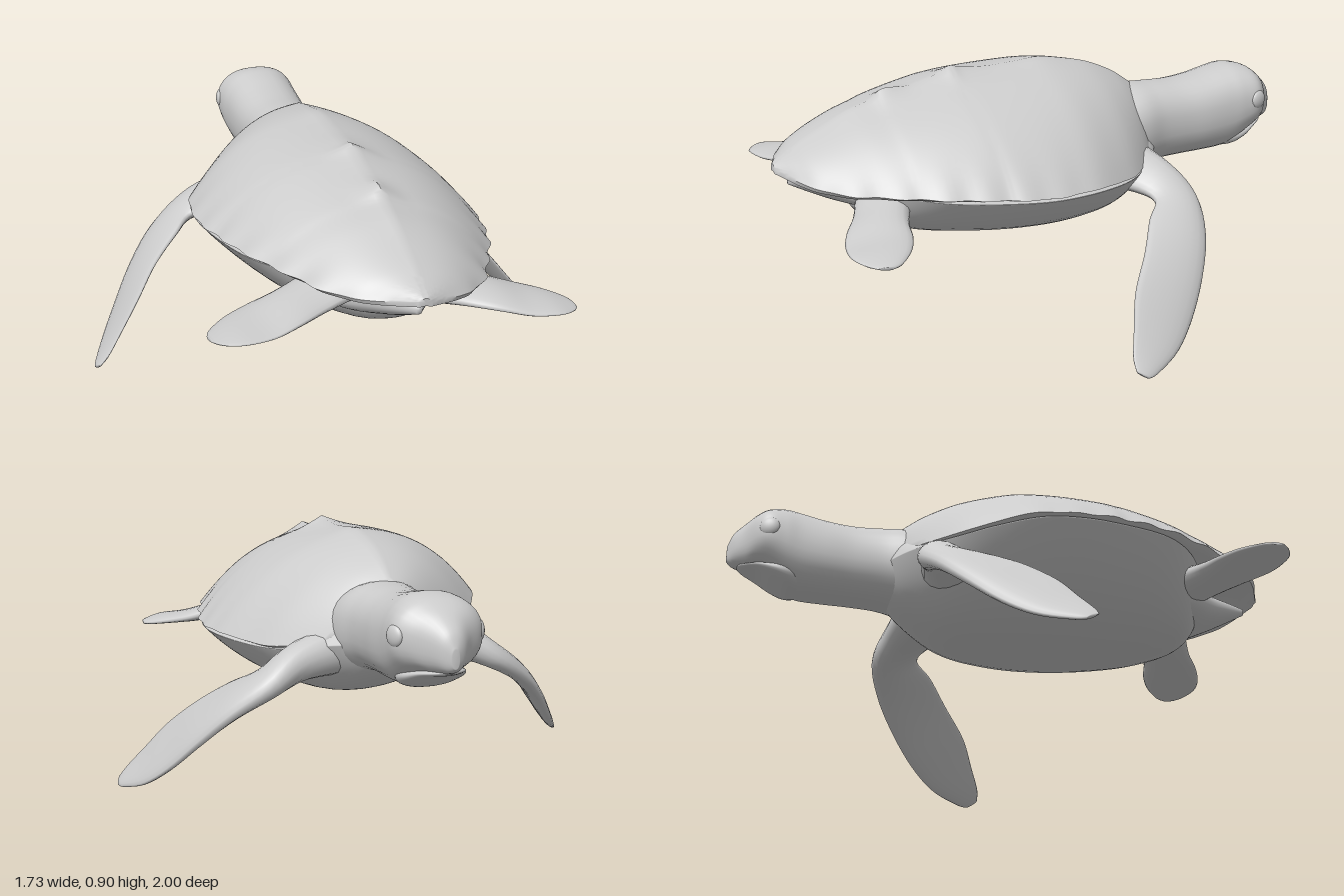
import * as THREE from 'three';
import { toCreasedNormals } from 'three/addons/utils/BufferGeometryUtils.js';

const material = new THREE.MeshStandardMaterial({ color: 0xcccccc, roughness: 0.8 });
const V = (x, y, z) => new THREE.Vector3(x, y, z);
const ROLL = 0.1; // the swimmer banks slightly to its +x side

// Smoothly resample rows of key values
function resample(keys, n) {
  const at = i => keys[Math.max(0, Math.min(keys.length - 1, i))];
  return Array.from({ length: n }, (_, k) => {
    const u = (k / (n - 1)) * (keys.length - 1);
    const i = Math.min(Math.floor(u), keys.length - 2), t = u - i;
    return keys[0].map((_, c) => {
      const [a, b, d, e] = [at(i - 1)[c], at(i)[c], at(i + 1)[c], at(i + 2)[c]];
      return b + 0.5 * t * (d - a + t * (2 * a - 5 * b + 4 * d - e + t * (3 * (b - d) + e - a)));
    });
  });
}

// Skin a row of closed rings, cap both ends and turn the faces outward
function loft(name, rings, crease) {
  const m = rings[0].length, pts = rings.flat(), idx = [];
  for (let r = 0; r < rings.length - 1; r++) {
    for (let j = 0; j < m; j++) {
      const a = r * m + j, b = r * m + (j + 1) % m;
      idx.push(a, b, a + m, b, b + m, a + m);
    }
  }
  [0, rings.length - 1].forEach(r => {
    const c = pts.length;
    pts.push(rings[r].reduce((s, p) => s.add(p), V(0, 0, 0)).divideScalar(m));
    for (let j = 0; j < m; j++) {
      const a = r * m + j, b = r * m + (j + 1) % m;
      idx.push(c, ...(r ? [a, b] : [b, a]));
    }
  });
  let volume = 0;
  for (let i = 0; i < idx.length; i += 3) {
    volume += pts[idx[i]].dot(V(0, 0, 0).crossVectors(pts[idx[i + 1]], pts[idx[i + 2]]));
  }
  if (volume < 0) idx.reverse();
  let geo = new THREE.BufferGeometry().setFromPoints(pts);
  geo.setIndex(idx);
  if (crease) geo = toCreasedNormals(geo, crease);
  else geo.computeVertexNormals();
  const mesh = new THREE.Mesh(geo, material);
  mesh.name = name;
  return mesh;
}

// Rounded section: keys are [z, centre x, half width, top, bottom]
function roundLoft(name, keys, n, power = 0.9) {
  return loft(name, resample(keys, n).map(([z, cx, w, top, bottom]) =>
    Array.from({ length: 32 }, (_, j) => {
      const a = (j / 32) * Math.PI * 2, c = Math.cos(a), s = Math.sin(a);
      const x = cx + Math.sign(c) * Math.abs(c) ** power * w;
      return V(x, (top + bottom) / 2 + Math.sign(s) * Math.abs(s) ** power * (top - bottom) / 2, z);
    })));
}

// Domed shell with a knobbed keel, rim overhanging at the tail: [z, half width, rim, top, knob]
function shell() {
  const keys = [
    [-0.41, 0.06, 0.66, 0.745, 0], [-0.37, 0.17, 0.6, 0.775, 0], [-0.3, 0.27, 0.575, 0.82, 0],
    [-0.2, 0.37, 0.565, 0.862, 0], [-0.1, 0.43, 0.575, 0.885, 0], [0, 0.478, 0.587, 0.895, 0.005],
    [0.1, 0.5, 0.59, 0.893, 0], [0.2, 0.508, 0.59, 0.888, 0], [0.3, 0.498, 0.595, 0.882, 0.012],
    [0.35, 0.487, 0.597, 0.877, 0.027], [0.4, 0.475, 0.6, 0.87, 0.008], [0.5, 0.447, 0.603, 0.848, 0.003],
    [0.6, 0.405, 0.605, 0.824, 0.027], [0.65, 0.378, 0.605, 0.808, 0.008], [0.73, 0.335, 0.605, 0.785, 0.004],
    [0.82, 0.285, 0.605, 0.745, 0], [0.9, 0.214, 0.608, 0.705, 0], [0.945, 0.14, 0.614, 0.675, 0],
    [0.975, 0.075, 0.62, 0.655, 0], [1, 0.02, 0.626, 0.64, 0],
  ];
  const half = 32;
  return loft('shell', resample(keys, 96).map(([z, w0, rim, top, knob]) => {
    const scallop = 0.007 * Math.sin(z * 48) * THREE.MathUtils.smoothstep(z, -0.2, 0.6);
    return Array.from({ length: half * 2 }, (_, j) => {
      const under = j > half;
      const s = under ? -1 + 2 * (j - half) / half : 1 - 2 * j / half, a = Math.abs(s);
      const x = s * (w0 + Math.min(w0, 0.1) * 10 * scallop * a ** 8);
      const y = under
        ? rim - 0.016 + 0.05 * (1 - a) * Math.min(1, w0 * 4)
        : rim + (top - rim) * (1 - 0.3 * a - 0.7 * a ** 2.8) + knob * Math.max(0, 1 - a * 4) ** 1.5;
      return V(x, y - ROLL * x, z);
    });
  }), 0.8);
}

// Belly and shoulders, flush with the rim: [z, half width, top, edge, bottom]
function underside() {
  const keys = [
    [-0.44, 0.11, 0.68, 0.57, 0.485], [-0.37, 0.2, 0.7, 0.57, 0.43], [-0.28, 0.295, 0.66, 0.56, 0.38],
    [-0.2, 0.365, 0.63, 0.555, 0.352], [-0.1, 0.427, 0.62, 0.562, 0.338], [0.05, 0.488, 0.62, 0.575, 0.336],
    [0.2, 0.502, 0.62, 0.578, 0.342], [0.35, 0.479, 0.62, 0.582, 0.352], [0.5, 0.435, 0.62, 0.587, 0.37],
    [0.6, 0.37, 0.62, 0.587, 0.388], [0.68, 0.27, 0.615, 0.585, 0.41], [0.73, 0.16, 0.61, 0.58, 0.45],
    [0.76, 0.06, 0.6, 0.575, 0.52],
  ];
  return loft('belly', resample(keys, 61).map(([z, w, top, edge, bottom]) =>
    Array.from({ length: 56 }, (_, j) => {
      const t = (j / 56) * Math.PI * 2, s = Math.cos(t), a = Math.abs(s);
      // flat plastron with sloping flanks
      const y = edge + ((Math.sin(t) > 0 ? top : bottom) - edge) * (1 - a ** 2.4);
      return V(s * w, y - ROLL * s * w, z);
    })));
}

// Flipper: keys are leading edge xyz, trailing edge xyz, half thickness
function flipper(name, keys, adjust) {
  const rows = resample(keys, 36).map((k, i) => {
    const t = i / 35;
    return { lead: adjust(V(k[0], k[1], k[2]), t), trail: adjust(V(k[3], k[4], k[5]), t), thick: k[6] };
  });
  const mids = rows.map(r => r.lead.clone().lerp(r.trail, 0.5));
  return loft(name, rows.map(({ lead, trail, thick }, i) => {
    const chord = lead.clone().sub(trail).multiplyScalar(0.5);
    const along = mids[Math.min(i + 1, 35)].clone().sub(mids[Math.max(i - 1, 0)]);
    const normal = along.cross(chord).normalize();
    return Array.from({ length: 20 }, (_, j) => {
      const a = (j / 20) * Math.PI * 2, c = Math.cos(a);
      // thicker toward the leading edge
      return mids[i].clone().addScaledVector(chord, c)
        .addScaledVector(normal, Math.sin(a) * thick * (1 + 0.35 * c));
    });
  }));
}

const FRONT = [
  [0.12, 0.54, -0.35, 0.18, 0.48, -0.1, 0.085], [0.29, 0.5, -0.38, 0.34, 0.47, -0.2, 0.062],
  [0.42, 0.42, -0.412, 0.43, 0.445, -0.235, 0.042], [0.55, 0.33, -0.37, 0.5, 0.405, -0.17, 0.032],
  [0.65, 0.225, -0.295, 0.6, 0.33, -0.09, 0.025], [0.735, 0.118, -0.2, 0.69, 0.235, 0, 0.02],
  [0.803, 0.045, -0.1, 0.765, 0.14, 0.05, 0.015], [0.855, 0.01, 0.01, 0.82, 0.07, 0.085, 0.01],
  [0.866, 0.006, 0.05, 0.853, 0.03, 0.09, 0.005],
];
const REAR = [
  [0.12, 0.53, 0.53, 0.12, 0.5, 0.76, 0.06], [0.25, 0.51, 0.61, 0.23, 0.485, 0.81, 0.042],
  [0.36, 0.49, 0.665, 0.33, 0.475, 0.87, 0.03], [0.45, 0.47, 0.69, 0.42, 0.46, 0.91, 0.02],
  [0.53, 0.455, 0.73, 0.51, 0.455, 0.925, 0.014], [0.59, 0.442, 0.785, 0.57, 0.445, 0.9, 0.009],
  [0.605, 0.437, 0.82, 0.6, 0.44, 0.87, 0.005],
];

export function createModel() {
  const turtle = new THREE.Group();
  turtle.name = 'seaTurtle';
  turtle.add(shell(), underside());

  // Neck and head, with the beak at the far end
  turtle.add(roundLoft('headAndNeck', [
    [-0.12, 0.01, 0.16, 0.7, 0.43], [-0.26, 0.015, 0.18, 0.735, 0.425], [-0.36, 0.02, 0.168, 0.762, 0.45],
    [-0.45, 0.021, 0.148, 0.763, 0.467], [-0.55, 0.023, 0.142, 0.762, 0.474], [-0.65, 0.025, 0.146, 0.773, 0.478],
    [-0.74, 0.025, 0.149, 0.792, 0.484], [-0.8, 0.024, 0.153, 0.8, 0.508], [-0.86, 0.023, 0.152, 0.79, 0.546],
    [-0.9, 0.02, 0.125, 0.768, 0.56], [-0.94, 0.02, 0.077, 0.738, 0.564], [-0.98, 0.02, 0.041, 0.698, 0.574],
    [-1, 0.02, 0.012, 0.65, 0.59],
  ], 70, 0.87));
  turtle.add(roundLoft('lowerJaw', [
    [-0.68, 0.025, 0.06, 0.6, 0.49], [-0.77, 0.024, 0.105, 0.575, 0.486], [-0.83, 0.022, 0.108, 0.57, 0.51],
    [-0.89, 0.02, 0.08, 0.572, 0.542], [-0.94, 0.02, 0.042, 0.575, 0.557], [-0.96, 0.02, 0.015, 0.578, 0.566],
  ], 30));
  // Hips and short tail under the shell overhang
  turtle.add(roundLoft('tail', [
    [0.55, 0, 0.26, 0.6, 0.44], [0.7, 0, 0.19, 0.6, 0.46], [0.8, 0, 0.11, 0.6, 0.49],
    [0.88, 0, 0.055, 0.595, 0.525], [0.95, 0, 0.01, 0.585, 0.56],
  ], 24));

  // Eyes and flippers on both sides, the -x side lifted by the bank
  for (const side of [1, -1]) {
    const label = side > 0 ? 'left' : 'right', lift = side > 0 ? 0 : 1;
    const eye = new THREE.Mesh(new THREE.SphereGeometry(0.036, 24, 16), material);
    eye.name = label + 'Eye';
    eye.scale.x = 0.5;
    eye.position.set(0.023 + side * 0.141, 0.676, -0.858);
    eye.rotation.y = side * 0.3;
    turtle.add(eye);
    turtle.add(flipper(label + 'FrontFlipper', FRONT,
      (p, t) => V(side * p.x, p.y + lift * (0.02 + 0.045 * t), p.z + lift * 0.04)));
    turtle.add(flipper(label + 'RearFlipper', REAR,
      (p, t) => V(side * p.x * (1 + 0.06 * lift), p.y + lift * (0.05 + 0.04 * t), p.z - lift * 0.01)));
  }
  return turtle;
}
